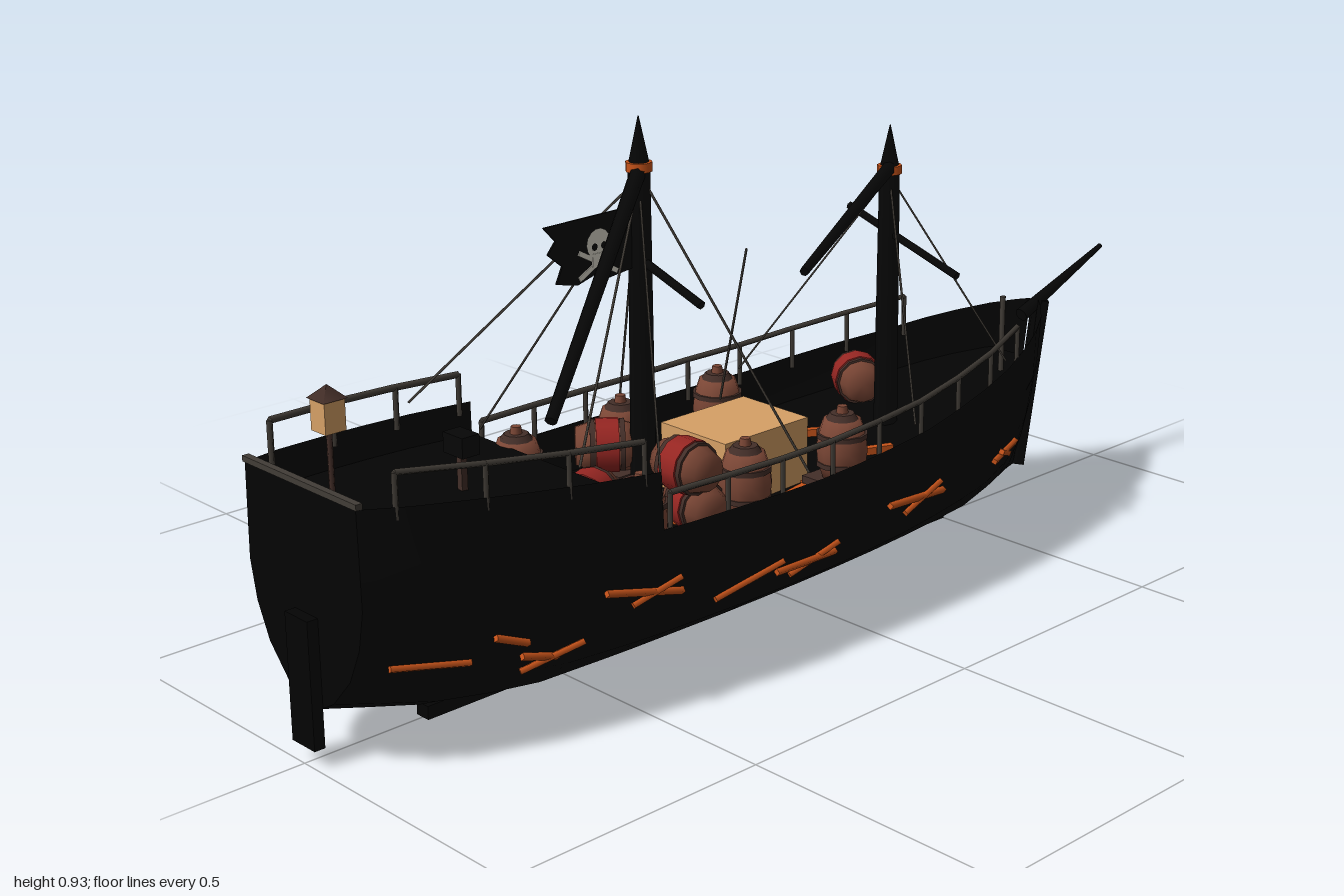
import * as THREE from 'three';

const mat = (name, color, double) => {
  const m = new THREE.MeshStandardMaterial({ color });
  m.name = name;
  if (double) m.side = THREE.DoubleSide;
  return m;
};
const V = (x, y, z) => new THREE.Vector3(x, y, z);

// Piecewise linear lookup in [key, value] pairs
const lerp = (table, x) => {
  if (x <= table[0][0]) return table[0][1];
  for (let i = 1; i < table.length; i++) {
    const [x0, v0] = table[i - 1], [x1, v1] = table[i];
    if (x <= x1) return v0 + (v1 - v0) * (x - x0) / (x1 - x0);
  }
  return table[table.length - 1][1];
};

// Hull lines along x: half beam, keel height, top edge and wale
const BEAM = [[-.98, .15], [-.9, .179], [-.8, .203], [-.7, .223], [-.6, .239], [-.4, .257], [-.2, .264], [0, .26], [.1, .252], [.2, .24], [.3, .223], [.4, .201], [.5, .172], [.6, .134], [.66, .105], [.72, .068], [.76, .033], [.78, .01]];
const BOTTOM = [[-.98, .09], [-.77, .03], [-.6, .01], [.5, .012], [.65, .03], [.78, .05]];
const TOP = [[-.98, .46], [-.461, .41], [-.459, .31], [-.1, .305], [.2, .315], [.5, .345], [.78, .39]];
const WALE = [[-.98, .37], [-.459, .31], [-.1, .305], [.2, .315], [.5, .345], [.78, .39]];
const PROFILE = [[0, 0], [.02, .17], [.09, .4], [.28, .72], [.5, .91], [.74, 1], [1, .99]];

// Half cross-section at x, from the keel up, as [height, half width]
const section = x => {
  const w = lerp(BEAM, x), b = lerp(BOTTOM, x), s = lerp(WALE, x);
  const pts = PROFILE.map(([f, k]) => [b + f * (s - b), k * w]);
  pts.push([lerp(TOP, x) + .0005, w * .975]);
  return pts;
};
const halfWidth = (x, y) => lerp(section(x), y);

// Surface through rows of points
const loft = rows => {
  const n = rows[0].length, pos = rows.flat().flatMap(p => [p.x, p.y, p.z]), idx = [];
  for (let i = 0; i < rows.length - 1; i++) {
    for (let j = 0; j < n - 1; j++) {
      const a = i * n + j, b = a + n;
      idx.push(a, a + 1, b, b, a + 1, b + 1);
    }
  }
  const g = new THREE.BufferGeometry();
  g.setAttribute('position', new THREE.Float32BufferAttribute(pos, 3));
  g.setIndex(idx);
  g.computeVertexNormals();
  return g;
};

export function createModel() {
  const hullMat = mat('charred hull', 0x040404, true), spar = mat('charred spar', 0x060606, true);
  const railMat = mat('ashen rail', 0x423d37), ember = mat('ember', 0xc9541a);
  const brown = mat('barrel brown', 0x7a4635), iron = mat('dark iron', 0x432e28);
  const red = mat('red band', 0x962622), tan = mat('crate tan', 0xd6a066), bone = mat('bone', 0xdedacd);

  const root = new THREE.Group();
  const add = (name, geo, m, parent = root, x = 0, y = 0, z = 0) => {
    const mesh = new THREE.Mesh(geo, m);
    mesh.name = name;
    mesh.position.set(x, y, z);
    parent.add(mesh);
    return mesh;
  };
  const box = (name, m, w, h, d, x, y, z, parent) => add(name, new THREE.BoxGeometry(w, h, d), m, parent, x, y, z);
  const rod = (name, m, a, b, r0, r1 = r0, sides = 5) => {
    const d = b.clone().sub(a), c = a.clone().add(b).multiplyScalar(.5);
    const mesh = add(name, new THREE.CylinderGeometry(r1, r0, d.length(), sides), m, root, c.x, c.y, c.z);
    mesh.quaternion.setFromUnitVectors(V(0, 1, 0), d.normalize());
  };

  // Hull shell with raked bow, transom and keel
  const stations = [-.98, -.9, -.8, -.7, -.6, -.52, -.461, -.459, -.4, -.3, -.2, -.1, 0, .1, .2, .3, .4, .5, .6, .66, .72, .76, .78];
  const rows = stations.map(x => {
    const k = Math.max(0, (x - .4) / .38), t = lerp(TOP, x);
    const half = section(x).map(([y, w]) => V(x - .06 * k * k * (1 - y / t), y, w));
    return [...half.slice(1).reverse().map(p => V(p.x, p.y, -p.z)), ...half];
  });
  add('hull', loft(rows), hullMat);
  const transom = new THREE.Shape(rows[0].map(p => new THREE.Vector2(p.z, p.y)));
  add('transom', new THREE.ShapeGeometry(transom), hullMat, root, -.98).rotation.y = -Math.PI / 2;
  box('transomRail', railMat, .012, .01, .3, -.976, .465, 0);
  box('keel', hullMat, 1.27, .024, .03, -.135, .012, 0);
  box('rudder', hullMat, .02, .22, .06, -.99, .14, 0);
  rod('stem', hullMat, V(.74, .05, 0), V(.8, .385, 0), .02, .022, 4);
  rod('bowsprit', spar, V(.74, .365, 0), V(.99, .462, 0), .014, .005, 8);

  // Decks and the bulkhead between them
  const deck = (name, xs, drop) => add(name, loft(xs.map(x => {
    const y = lerp(TOP, x) - drop, w = halfWidth(x, y) - .002;
    return [V(x, y, -w), V(x, y, w)];
  })), hullMat);
  deck('quarterDeck', stations.slice(0, 7), .06);
  deck('mainDeck', stations.slice(7, -2), .09);
  box('bulkhead', hullMat, .01, .13, .49, -.462, .285, 0);

  // Side railings
  const railing = (x0, x1, n, h) => {
    for (const s of [-1, 1]) {
      let last;
      for (let i = 0; i < n; i++) {
        const x = x0 + (x1 - x0) * i / (n - 1), y = lerp(TOP, x), z = s * (lerp(BEAM, x) * .975 - .004);
        const top = V(x, y + h, z);
        rod('railPost', railMat, V(x, y - .02, z), top, .006, .006, 4);
        if (last) rod('handRail', railMat, last, top, .006, .006, 4);
        last = top;
      }
    }
  };
  railing(-.92, -.49, 4, .055);
  railing(-.44, .55, 9, .06);
  rod('bowPost', railMat, V(.645, .27, .03), V(.645, .43, .03), .006);

  // Masts with pointed broken tops and glowing bands
  for (const [x, yTop, yBand] of [[-.28, .925, .84], [.34, .815, .732]]) {
    rod('mast', spar, V(x, .2, 0), V(x, yBand, 0), .023, .019, 8);
    rod('mastTip', spar, V(x, yBand, 0), V(x, yTop, 0), .019, .001, 8);
    rod('mastBand', ember, V(x, yBand - .008, 0), V(x, yBand + .008, 0), .023, .023, 10);
  }

  // Fallen and crooked yards
  rod('mainYard', spar, V(-.285, .835, .005), V(-.665, .54, .22), .014, .01, 7);
  rod('foreYard', spar, V(.335, .737, .005), V(-.09, .66, .2), .013, .008, 7);
  rod('brokenYard', spar, V(-.28, .715, -.1), V(-.28, .63, .15), .008, .008, 6);
  rod('brokenYard', spar, V(.34, .645, -.1), V(.34, .56, .17), .008, .008, 6);

  // Rigging
  for (const s of [-1, 1]) {
    for (const [x, y, x1, y1] of [[-.28, .83, -.12, .32], [-.28, .81, -.45, .36], [-.28, .82, -.61, .45], [.34, .72, .17, .33], [.34, .72, .5, .36]]) {
      rod('rope', railMat, V(x, y, 0), V(x1, y1, s * lerp(BEAM, x1) * .93), .0023, .0023, 4);
    }
  }
  rod('looseRope', railMat, V(-.03, .65, 0), V(0, .34, -.1), .0023, .0023, 4);

  // Ragged flag with a bone emblem on both faces
  const flagEdge = [[-.3, .775], [-.49, .772], [-.465, .745], [-.482, .725], [-.452, .7], [-.465, .672], [-.42, .662], [-.385, .672], [-.35, .662], [-.3, .668]];
  const flagShape = new THREE.Shape(flagEdge.map(p => new THREE.Vector2(...p)));
  add('flag', new THREE.ExtrudeGeometry(flagShape, { depth: .004, bevelEnabled: false }), spar, root, 0, 0, -.002);
  for (const s of [-1, 1]) {
    const emblem = new THREE.Group();
    emblem.name = 'flagEmblem';
    emblem.position.set(-.376, .714, s * .004);
    if (s < 0) emblem.rotation.y = Math.PI;
    root.add(emblem);
    add('skull', new THREE.CircleGeometry(.026, 14), bone, emblem, 0, .012, .001);
    box('jaw', bone, .028, .022, .002, 0, -.015, .001, emblem);
    for (const e of [-1, 1]) {
      add('eye', new THREE.CircleGeometry(.0065, 8), spar, emblem, e * .01, .008, .003);
      box('crossBone', bone, .095, .009, .002, 0, -.02, 0, emblem).rotation.z = e * .5;
    }
  }

  // Stern lantern and steering post
  rod('lanternPost', iron, V(-.92, .39, 0), V(-.92, .54, 0), .005);
  box('lantern', tan, .038, .052, .038, -.92, .56, 0);
  add('lanternRoof', new THREE.ConeGeometry(.032, .022, 4), iron, root, -.92, .597, 0).rotation.y = Math.PI / 4;
  box('steeringPost', iron, .012, .1, .012, -.67, .41, 0);
  box('steeringHead', spar, .035, .035, .05, -.67, .45, 0);

  // Barrels: upright with a lid, or lying with a broad red belt
  const barrelProfile = [[0, -.055], [.034, -.055], [.044, -.025], [.047, 0], [.044, .025], [.034, .055], [0, .055]];
  const barrelGeo = new THREE.LatheGeometry(barrelProfile.map(p => new THREE.Vector2(...p)), 12);
  const barrel = (x, y, z, rot = [0, 0, 0]) => {
    const g = new THREE.Group();
    g.name = 'barrel';
    g.position.set(x, y, z);
    g.rotation.set(...rot);
    root.add(g);
    add('barrelBody', barrelGeo, brown, g);
    for (const s of [-1, 1]) add('barrelHoop', new THREE.CylinderGeometry(.0465, .0465, .009, 12), iron, g, 0, s * .026, 0);
    return g;
  };
  for (const x of [-.43, -.19, .05]) {
    for (const s of [-1, 1]) {
      box('barrelBase', iron, .1, .03, .1, x, .232, s * .16);
      const g = barrel(x, .3, s * .16);
      add('barrelLid', new THREE.CylinderGeometry(.022, .03, .012, 10), iron, g, 0, .06, 0);
      add('barrelKnob', new THREE.CylinderGeometry(.009, .011, .014, 8), brown, g, 0, .072, 0);
    }
  }
  const lying = [[-.29, .345, .12, 0], [-.35, .27, .06, .5], [-.31, .34, -.06, -.9], [-.38, .27, -.03, 1.2], [-.26, .265, .11, .2], [.395, .285, -.125, .6]];
  for (const [x, y, z, turn] of lying) {
    const g = barrel(x, y, z, [Math.PI / 2, 0, turn]);
    add('redBelt', new THREE.CylinderGeometry(.0485, .0485, .04, 12), red, g);
  }

  // Cargo crate
  box('crate', tan, .205, .125, .165, -.06, .277, 0);

  // Smouldering cracks along both sides, each as x, y to x, y
  const cracks = [
    [-.93, .185, -.8, .165], [-.77, .205, -.71, .18], [-.7, .115, -.6, .15], [-.71, .15, -.64, .13],
    [-.58, .235, -.42, .195], [-.52, .195, -.43, .225], [-.33, .145, -.19, .18], [-.2, .16, -.05, .155],
    [-.15, .135, -.05, .175], [.08, .205, .26, .18], [.14, .17, .24, .205], [.47, .165, .57, .175], [.49, .18, .55, .155]];
  for (const s of [-1, 1]) {
    const shift = s < 0 ? .07 : 0;
    const at = (x, y) => V(x + shift, y, s * (halfWidth(x + shift, y) + .006));
    for (const [x0, y0, x1, y1] of cracks) rod('hullEmber', ember, at(x0, y0), at(x1, y1), .007, .007, 4);
  }

  // Embers scattered over the deck
  const sparks = [[-.21, -.08, .4], [-.08, -.11, -.5], [-.02, .12, .2], [.03, .12, -.4], [.1, .1, .9], [.2, -.07, -.6], [-.25, .05, .7], [.08, -.09, 1.2], [-.2, .13, -.3], [.22, .09, -.4]];
  for (const [x, z, a] of sparks) {
    box('deckEmber', ember, .06, .014, .014, x, lerp(TOP, x) - .082, z).rotation.y = a;
  }
  return root;
}
